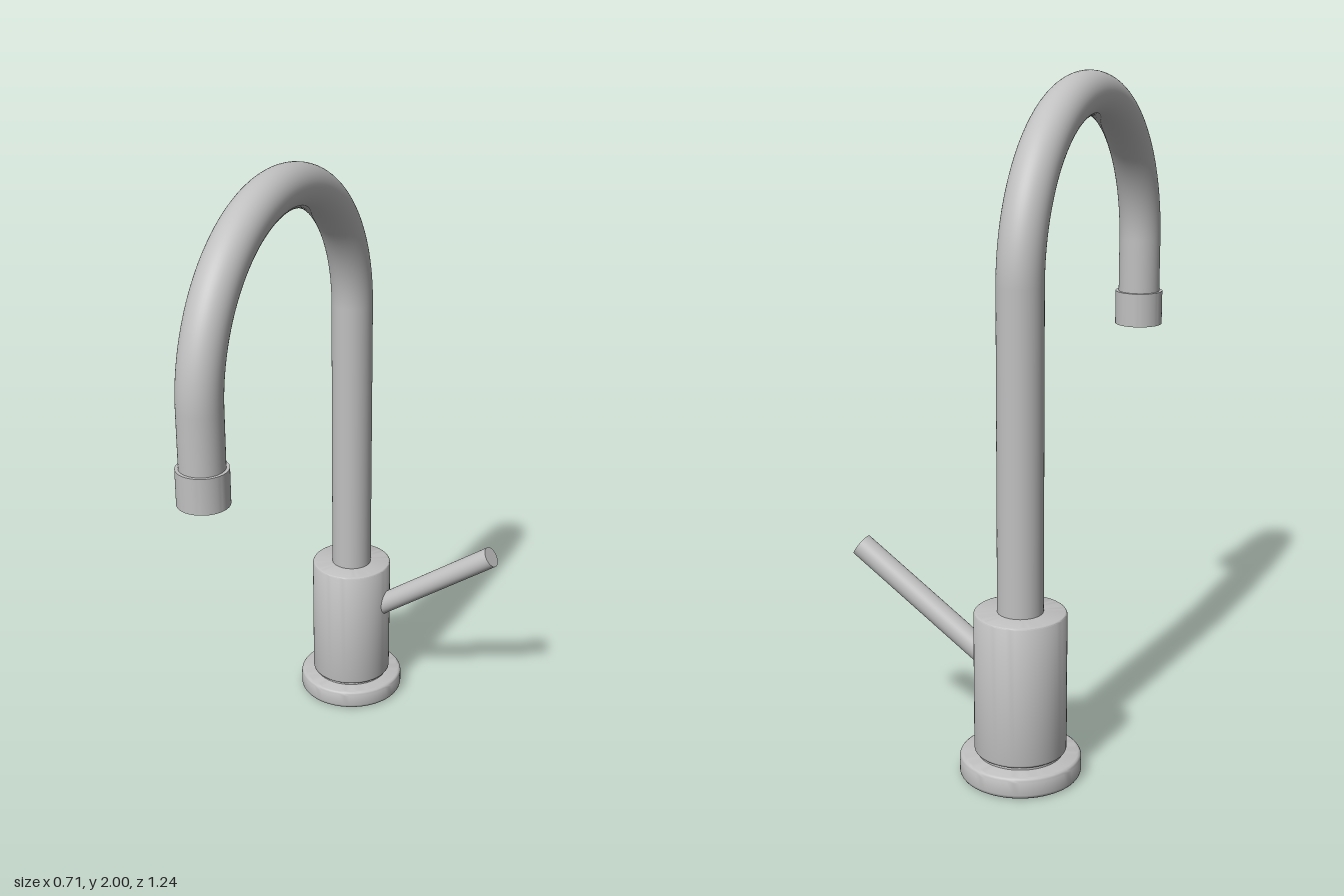
import * as THREE from 'three';
import { toCreasedNormals } from 'three/addons/utils/BufferGeometryUtils.js';

const AXIS_X = -0.183, BACK_Z = -0.44, FRONT_Z = 0.541;
const PIPE_R = 0.067, BEND_Y = 1.443;

// Lathe with sharp corners kept and small fillets smooth
function turned(points) {
  const profile = points.map(([r, y]) => new THREE.Vector2(r, y));
  return toCreasedNormals(new THREE.LatheGeometry(profile, 64), 0.6);
}

// Solid disc profile with rounded rims
function roundedDisc(r, y0, y1, fillet) {
  const pts = [[0, y0]];
  for (let i = 0; i <= 4; i++) {
    const a = (i / 4) * Math.PI / 2;
    pts.push([r - fillet + fillet * Math.sin(a), y0 + fillet - fillet * Math.cos(a)]);
  }
  for (let i = 0; i <= 4; i++) {
    const a = (i / 4) * Math.PI / 2;
    pts.push([r - fillet + fillet * Math.cos(a), y1 - fillet + fillet * Math.sin(a)]);
  }
  pts.push([0, y1]);
  return turned(pts);
}

export function createModel() {
  const model = new THREE.Group();
  model.name = 'faucet';
  const metal = new THREE.MeshStandardMaterial({ color: 0xc0c0c0 });
  metal.name = 'brushedMetal';

  function add(name, geometry, x, y, z) {
    const mesh = new THREE.Mesh(geometry, metal);
    mesh.name = name;
    mesh.position.set(x, y, z);
    model.add(mesh);
    return mesh;
  }

  // Foot flange, shadow gap and valve body
  add('baseFlange', roundedDisc(0.178, 0, 0.066, 0.014), AXIS_X, 0, BACK_Z);
  add('baseGap', new THREE.CylinderGeometry(0.125, 0.125, 0.03, 64), AXIS_X, 0.07, BACK_Z);
  add('valveBody', roundedDisc(0.135, 0.074, 0.502, 0.009), AXIS_X, 0, BACK_Z);

  // Gooseneck: rear riser, half-circle bend, front drop
  function pipe(name, y0, y1, z) {
    add(name, new THREE.CylinderGeometry(PIPE_R, PIPE_R, y1 - y0, 48, 1, true), AXIS_X, (y0 + y1) / 2, z);
  }
  pipe('riser', 0.48, BEND_Y, BACK_Z);
  pipe('spoutDrop', 1.26, BEND_Y, FRONT_Z);
  const bend = new THREE.TorusGeometry((FRONT_Z - BACK_Z) / 2, PIPE_R, 48, 72, Math.PI);
  bend.rotateY(Math.PI / 2);
  add('spoutBend', bend, AXIS_X, BEND_Y, (FRONT_Z + BACK_Z) / 2);

  // Hollow outlet collar
  add('outletCollar', turned([
    [0.053, 1.16], [0.077, 1.16], [0.077, 1.27], [0.053, 1.27], [0.053, 1.16],
  ]), AXIS_X, 0, FRONT_Z);

  // Slanted lever on the model's left side
  const from = new THREE.Vector3(-0.113, 0.32, BACK_Z);
  const to = new THREE.Vector3(0.331, 0.63, BACK_Z);
  const mid = from.clone().add(to).multiplyScalar(0.5);
  const lever = add('leverHandle',
    new THREE.CylinderGeometry(0.035, 0.035, from.distanceTo(to), 40), mid.x, mid.y, mid.z);
  lever.quaternion.setFromUnitVectors(new THREE.Vector3(0, 1, 0), to.clone().sub(from).normalize());

  return model;
}
